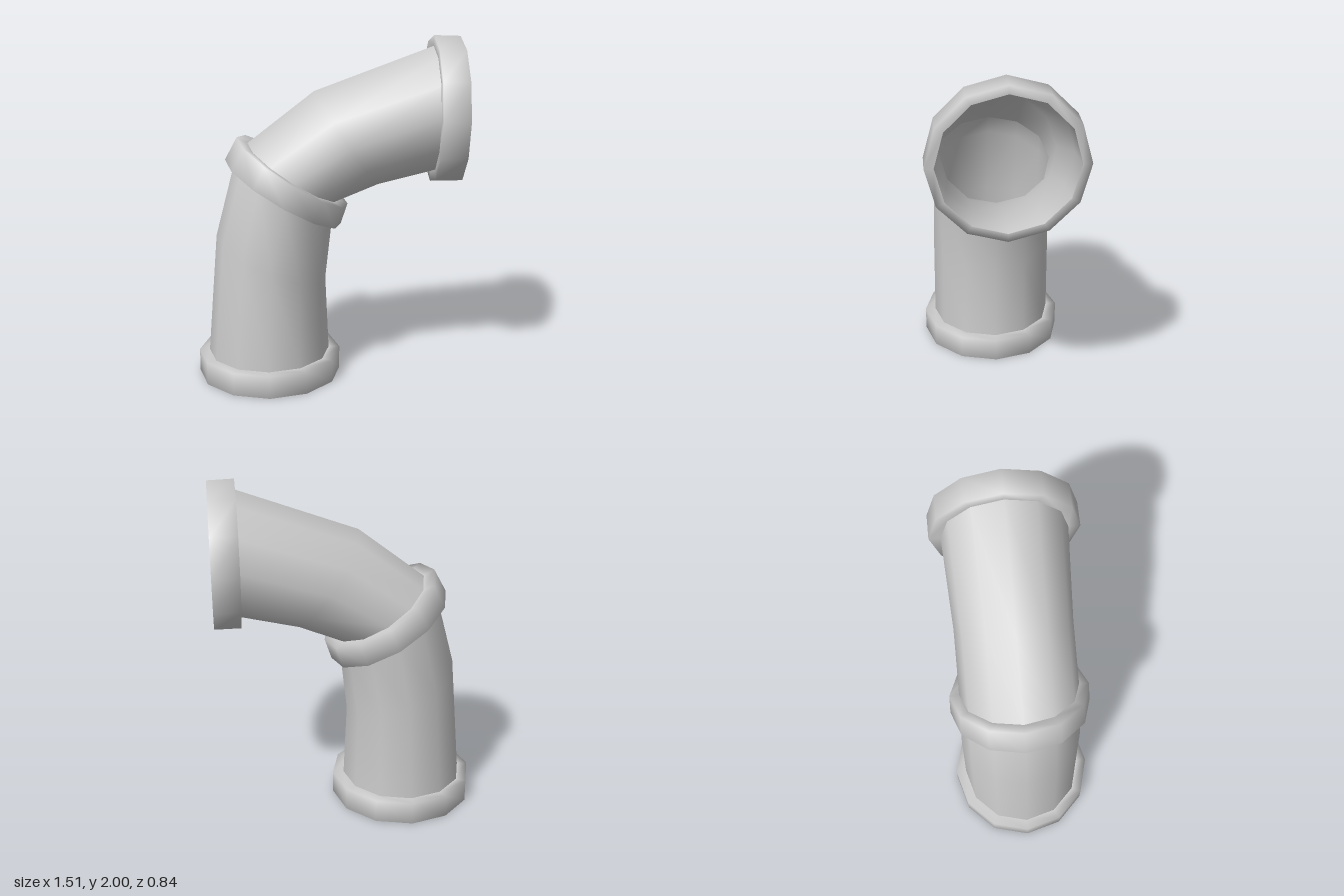
import * as THREE from 'three';

const SIDES = 12;
const material = new THREE.MeshStandardMaterial({ color: 0xcccccc, side: THREE.DoubleSide });

// Skin over oval rings; each ring is [outerBendX, outerBendY, innerBendX, innerBendY, halfDepth]
function loft(name, rings) {
  const position = [], index = [];
  rings.forEach(([ax, ay, bx, by, depth], i) => {
    for (let k = 0; k < SIDES; k++) {
      const t = (k / SIDES) * Math.PI * 2, c = Math.cos(t) / 2;
      position.push((ax + bx) / 2 + (ax - bx) * c, (ay + by) / 2 + (ay - by) * c, depth * Math.sin(t));
      if (i === 0) continue;
      const n = (k + 1) % SIDES, lo = (i - 1) * SIDES, hi = i * SIDES;
      index.push(lo + k, lo + n, hi + k, lo + n, hi + n, hi + k);
    }
  });
  const geometry = new THREE.BufferGeometry();
  geometry.setAttribute('position', new THREE.Float32BufferAttribute(position, 3));
  geometry.setIndex(index);
  geometry.computeVertexNormals();
  const mesh = new THREE.Mesh(geometry, material);
  mesh.name = name;
  return mesh;
}

export function createModel() {
  const group = new THREE.Group();
  group.name = 'bentPipe';

  // Rings along the pipe, from the floor opening to the side opening
  const mouth = [-0.71, 0, 0.03, 0, 0.37];
  const foot = [-0.7, 0.135, 0.015, 0.135, 0.358];
  const lowerBend = [-0.64, 0.85, -0.005, 0.58, 0.355];
  const jointLow = [-0.53, 1.27, 0.035, 0.945, 0.345];
  const jointHigh = [-0.45, 1.395, 0.07, 1.062, 0.335];
  const upperBend = [-0.07, 1.69, 0.31, 1.15, 0.33];
  const neck = [0.605, 1.94, 0.605, 1.22, 0.353];
  const opening = [0.755, 1.95, 0.755, 1.205, 0.37];

  group.add(
    loft('lowerPipe', [mouth, foot, lowerBend, jointLow, jointHigh]),
    loft('upperPipe', [jointHigh, upperBend, neck, opening]),
    // Collars: end face, outer wall, end face
    loft('baseCollar', [mouth, [-0.76, 0, 0.08, 0, 0.42], [-0.76, 0.135, 0.08, 0.135, 0.42], foot]),
    loft('middleCollar', [jointLow, [-0.58, 1.3, 0.085, 0.91, 0.395], [-0.51, 1.43, 0.125, 1.03, 0.39], jointHigh]),
    loft('endCollar', [neck, [0.605, 2, 0.605, 1.16, 0.42], [0.755, 1.995, 0.755, 1.16, 0.42], opening]),
  );
  return group;
}
